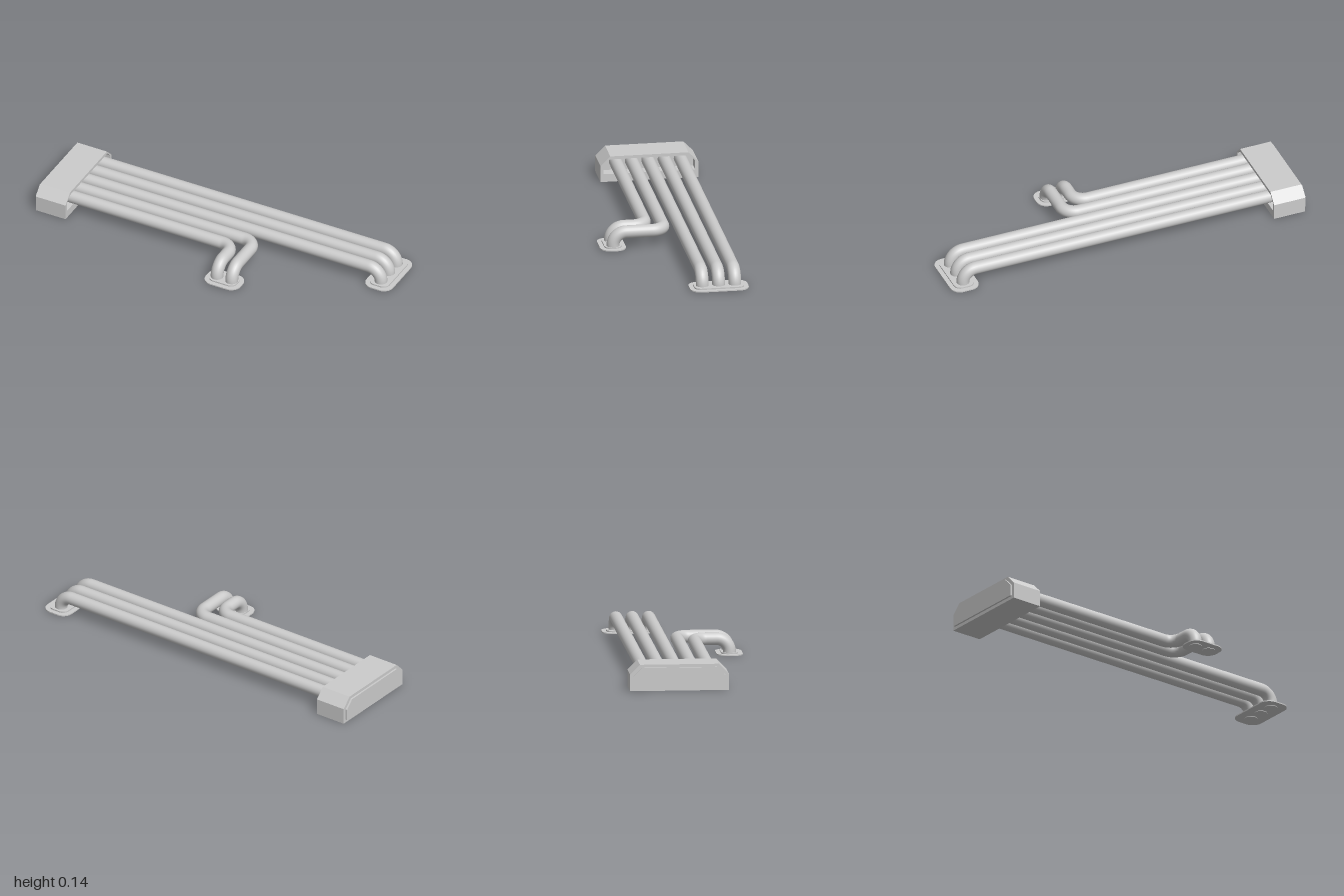
import * as THREE from 'three';

const material = new THREE.MeshStandardMaterial({ color: 0xcccccc });
const PIPE_R = 0.034, PIPE_Y = 0.088, BEND = 0.07;
const HOUSING_Z = -0.085;

function addMesh(parent, name, geometry) {
  const mesh = new THREE.Mesh(geometry, material);
  mesh.name = name;
  parent.add(mesh);
  return mesh;
}

// Polyline path whose corners are rounded into quarter bends.
function bentPath(points) {
  const path = new THREE.CurvePath();
  let start = points[0];
  for (let i = 1; i < points.length; i++) {
    const corner = points[i];
    if (i === points.length - 1) {
      path.add(new THREE.LineCurve3(start, corner));
      break;
    }
    const dirIn = corner.clone().sub(points[i - 1]).normalize();
    const dirOut = points[i + 1].clone().sub(corner).normalize();
    const a = corner.clone().addScaledVector(dirIn, -BEND);
    const b = corner.clone().addScaledVector(dirOut, BEND);
    path.add(new THREE.LineCurve3(start, a));
    path.add(new THREE.CubicBezierCurve3(
      a, a.clone().addScaledVector(dirIn, BEND * 0.5523),
      b.clone().addScaledVector(dirOut, -BEND * 0.5523), b));
    start = b;
  }
  return path;
}

// Pipe with a closed foot at the ground end.
function addPipe(parent, name, points) {
  const pipe = new THREE.Group();
  pipe.name = name;
  const path = bentPath(points.map(p => new THREE.Vector3(...p)));
  addMesh(pipe, 'pipeTube', new THREE.TubeGeometry(path, 180, PIPE_R, 24, false));
  const end = points[points.length - 1];
  const cap = new THREE.CircleGeometry(PIPE_R, 24).rotateX(Math.PI / 2);
  addMesh(pipe, 'pipeFoot', cap).position.set(...end);
  parent.add(pipe);
}

// Housing outline with chamfered upper corners.
function chamferedOutline(halfWidth, bottom, top, chamfer, Type = THREE.Shape) {
  const w = halfWidth, c = chamfer;
  return new Type([
    [-w, bottom], [w, bottom], [w, top - c], [w - c, top], [-w + c, top], [-w, top - c],
  ].map(p => new THREE.Vector2(...p)));
}

// Extrudes an outline along x between two positions.
function extrudeAlongX(shape, x0, x1) {
  return new THREE.ExtrudeGeometry(shape, { depth: x1 - x0, bevelEnabled: false })
    .rotateY(Math.PI / 2).translate(x0, 0, HOUSING_Z);
}

// Rounded rectangular plate lying flat.
function roundedPlate(width, length, radius, y0, y1) {
  const w = width / 2, l = length / 2, r = radius;
  const s = new THREE.Shape();
  s.absarc(w - r, l - r, r, 0, Math.PI / 2);
  s.absarc(-w + r, l - r, r, Math.PI / 2, Math.PI);
  s.absarc(-w + r, -l + r, r, Math.PI, Math.PI * 1.5);
  s.absarc(w - r, -l + r, r, Math.PI * 1.5, Math.PI * 2);
  return new THREE.ExtrudeGeometry(s, { depth: y1 - y0, bevelEnabled: false, curveSegments: 10 })
    .rotateX(-Math.PI / 2).translate(0, y0, 0);
}

// Stepped flange: wide thin base and smaller raised pad.
function addFlange(parent, name, x, z, width, length) {
  const flange = new THREE.Group();
  flange.name = name;
  addMesh(flange, 'flangeBase', roundedPlate(width, length, 0.055, 0.003, 0.009));
  addMesh(flange, 'flangePad', roundedPlate(width - 0.048, length - 0.048, 0.035, 0.009, 0.016));
  flange.position.set(x, 0, z);
  parent.add(flange);
}

export function createModel() {
  const model = new THREE.Group();
  model.name = 'pipeManifold';

  // Housing: solid back, recessed mouth for the pipes, raised end panel
  const housing = new THREE.Group();
  housing.name = 'housing';
  const outline = chamferedOutline(0.26, 0, 0.14, 0.052);
  addMesh(housing, 'housingBody', extrudeAlongX(outline, -0.99, -0.88));
  const mouth = chamferedOutline(0.26, 0, 0.14, 0.052);
  mouth.holes.push(chamferedOutline(0.243, 0.043, 0.124, 0.031, THREE.Path));
  addMesh(housing, 'housingMouth', extrudeAlongX(mouth, -0.88, -0.815));
  addMesh(housing, 'endPanel', extrudeAlongX(chamferedOutline(0.243, 0.017, 0.124, 0.045), -1, -0.99));
  model.add(housing);

  // Three long pipes bending straight down at the far end
  [-0.259, -0.173, -0.086].forEach((z, i) => addPipe(model, `longPipe${i + 1}`, [
    [-0.89, PIPE_Y, z], [0.92, PIPE_Y, z], [0.92, 0, z],
  ]));

  // Two short pipes turning to the front, then down
  [[0.001, 0.225], [0.086, 0.138]].forEach(([z, x], i) => addPipe(model, `shortPipe${i + 1}`, [
    [-0.89, PIPE_Y, z], [x, PIPE_Y, z], [x, PIPE_Y, 0.277], [x, 0, 0.277],
  ]));

  // Floor flanges
  addFlange(model, 'longPipeFlange', 0.92, -0.173, 0.158, 0.312);
  addFlange(model, 'shortPipeFlange', 0.182, 0.278, 0.206, 0.138);

  return model;
}
